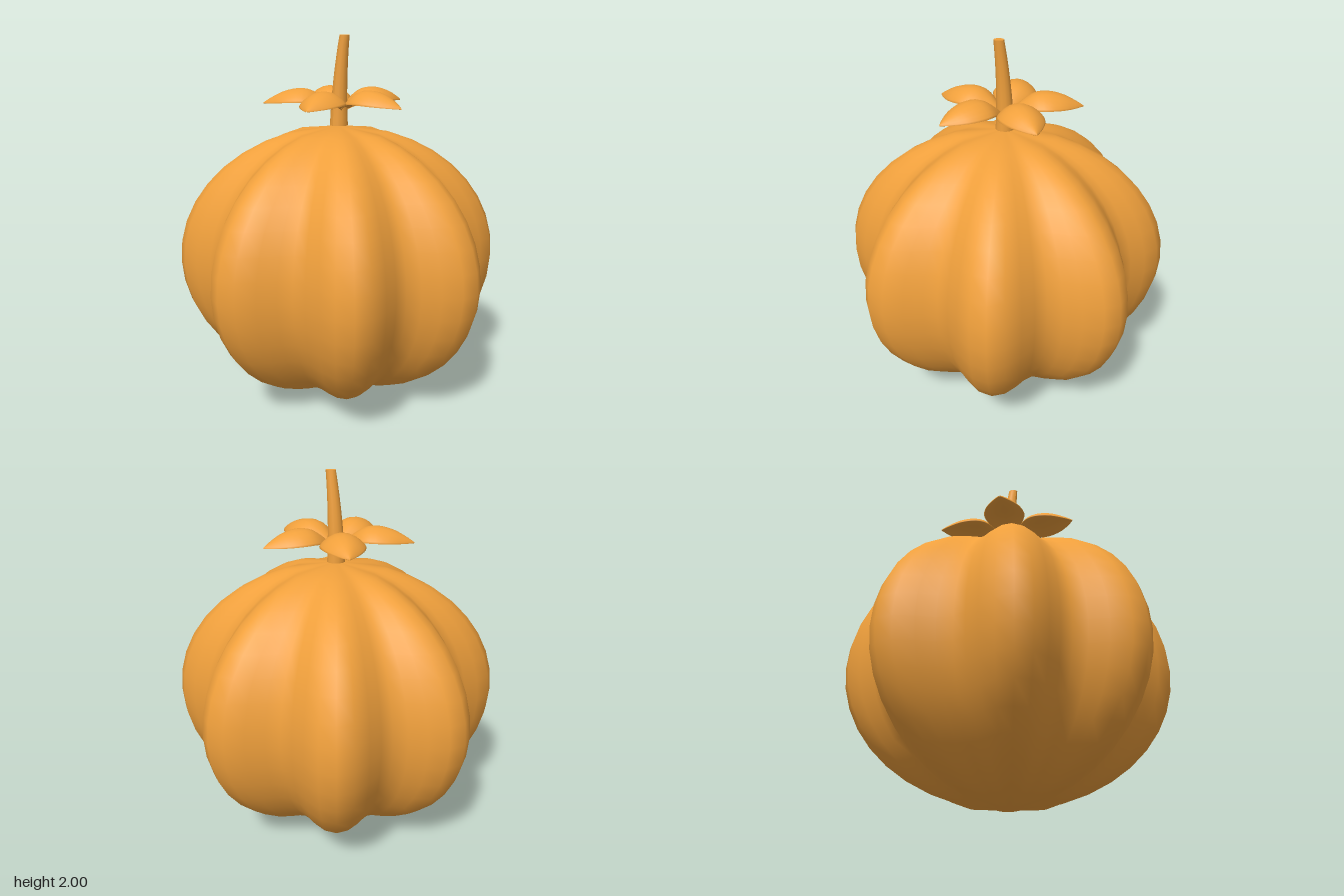
import * as THREE from 'three';
import { mergeVertices } from 'three/addons/utils/BufferGeometryUtils.js';
import { ParametricGeometry } from 'three/addons/geometries/ParametricGeometry.js';

const material = new THREE.MeshStandardMaterial({ color: 0xf0a03c });

function addMesh(parent, name, geometry) {
  const mesh = new THREE.Mesh(geometry, material);
  mesh.name = name;
  parent.add(mesh);
  return mesh;
}

// Lathed ellipsoid whose radius swells into eight lobes
function bodyGeometry() {
  const profile = [new THREE.Vector2(0, 0.003)];
  for (let deg = 18; deg <= 162; deg += 9) {
    const a = THREE.MathUtils.degToRad(deg);
    profile.push(new THREE.Vector2(Math.sin(a), 0.763 - 0.76 * Math.cos(a)));
  }
  profile.push(new THREE.Vector2(0, 1.523));
  let geometry = new THREE.LatheGeometry(profile, 64);
  const pos = geometry.attributes.position;
  for (let i = 0; i < pos.count; i++) {
    const x = pos.getX(i), z = pos.getZ(i);
    const r = 0.81 + 0.09 * Math.cos(8 * Math.atan2(z, x));
    pos.setXYZ(i, x * r, pos.getY(i), z * r);
  }
  geometry.deleteAttribute('uv');
  geometry.deleteAttribute('normal');
  geometry = mergeVertices(geometry, 1e-5);
  geometry.computeVertexNormals();
  return geometry;
}

// Tapered cylinder that leans towards +x as it rises
function stemGeometry() {
  const height = 0.475;
  const geometry = new THREE.CylinderGeometry(0.027, 0.05, height, 12, 10);
  geometry.translate(0, height / 2, 0);
  const pos = geometry.attributes.position;
  for (let i = 0; i < pos.count; i++) {
    const t = pos.getY(i) / height;
    pos.setX(i, pos.getX(i) + 0.039 * t * t);
  }
  geometry.computeVertexNormals();
  geometry.translate(0, 1.525, 0);
  return geometry;
}

// Domed, pointed leaf along +x: closed cross-sections of varying width
function leafGeometry() {
  const width = new THREE.SplineCurve([
    [0.02, 0.02], [0.08, 0.06], [0.15, 0.105], [0.22, 0.118],
    [0.3, 0.095], [0.37, 0.045], [0.413, 0.002],
  ].map(p => new THREE.Vector2(...p)));
  const ridge = new THREE.SplineCurve([
    [0.02, 1.61], [0.08, 1.66], [0.15, 1.7], [0.22, 1.708],
    [0.3, 1.693], [0.37, 1.664], [0.413, 1.641],
  ].map(p => new THREE.Vector2(...p)));
  const w = new THREE.Vector2(), c = new THREE.Vector2();
  return new ParametricGeometry((u, v, target) => {
    const a = v * Math.PI * 2, side = Math.cos(a);
    width.getPoint(u, w);
    ridge.getPoint(u, c);
    const droop = 0.45 * w.y * side * side;
    const thickness = 0.003 + 0.1 * w.y;
    target.set(w.x, c.y - droop + thickness * Math.sin(a), w.y * side);
  }, 16, 20);
}

export function createModel() {
  const model = new THREE.Group();
  model.name = 'ribbedFruit';
  addMesh(model, 'body', bodyGeometry());
  addMesh(model, 'stem', stemGeometry());

  // Five leaves around the stem
  const crown = new THREE.Group();
  crown.name = 'leafCrown';
  const leaf = leafGeometry();
  for (let i = 0; i < 5; i++) {
    addMesh(crown, `leaf${i + 1}`, leaf).rotation.y = (i * Math.PI * 2) / 5;
  }
  model.add(crown);
  return model;
}
